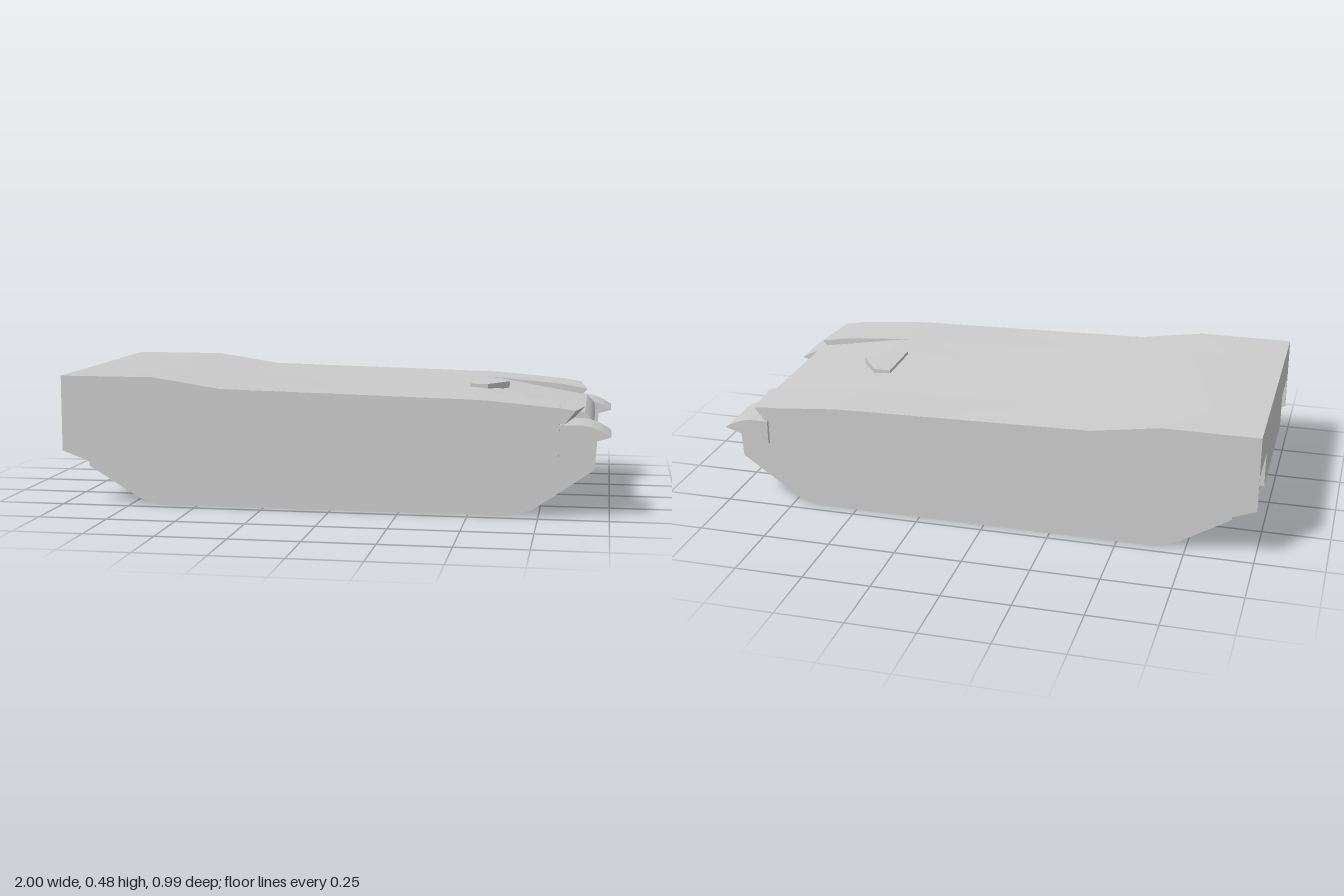
import * as THREE from 'three';
import { toCreasedNormals } from 'three/addons/utils/BufferGeometryUtils.js';

const material = new THREE.MeshStandardMaterial({ color: 0xcccccc, side: THREE.DoubleSide });

const shapeOf = (points) => new THREE.Shape(points.map(([x, y]) => new THREE.Vector2(x, y)));

// Side profile (x, y) extruded between two z positions, with an optional rule to move its corners
function slab(name, shape, z0, z1, adjust) {
  const geometry = new THREE.ExtrudeGeometry(shape, { depth: z1 - z0, bevelEnabled: false, curveSegments: 14 });
  geometry.translate(0, 0, z0);
  if (adjust) {
    const p = geometry.attributes.position;
    const v = new THREE.Vector3();
    for (let i = 0; i < p.count; i++) {
      adjust(v.fromBufferAttribute(p, i));
      p.setXYZ(i, v.x, v.y, v.z);
    }
  }
  const mesh = new THREE.Mesh(toCreasedNormals(geometry, 0.45), material);
  mesh.name = name;
  return mesh;
}

// Shared roof line, rear to front
const roof = [[-1, 0.478], [-0.65, 0.478], [-0.4, 0.44], [0.5, 0.42]];

function centralHull() {
  // Belly rises gently to the rear; the nose leans out, then curves under
  const shape = shapeOf([[0.76, 0.14], [-1, 0.2], ...roof, [0.57, 0.413], [0.905, 0.355]]);
  shape.bezierCurveTo(0.965, 0.31, 0.96, 0.25, 0.76, 0.14);
  return slab('centralHull', shape, -0.28, 0.28);
}

// Everything outboard of the central hull on the +z side
function sidePods() {
  const side = new THREE.Group();
  side.add(slab('sponson', shapeOf([[-1, 0.33], ...roof, [0.57, 0.417], [0.82, 0.395], [0.82, 0.33]]), 0.28, 0.495));
  side.add(slab('skirt', shapeOf([[-1, 0.2], [-1, 0.34], [0.82, 0.34], [0.82, 0.14], [-0.84, 0.14]]), 0.489, 0.495));
  side.add(slab('track', shapeOf([
    [-0.92, 0.33], [-0.91, 0.14], [-0.72, 0.025], [-0.65, 0], [0.65, 0],
    [0.73, 0.025], [0.945, 0.175], [0.952, 0.28], [0.85, 0.33],
  ]), 0.29, 0.46));

  // Raised front flap, its leading edge swept back and up outboard
  side.add(slab('frontFlap', shapeOf([
    [0.8, 0.338], [0.8, 0.395], [0.82, 0.394], [0.907, 0.378], [0.87, 0.338],
  ]), 0.28, 0.485, (v) => {
    if (v.x < 0.84) return;
    v.x -= 0.15 * (v.z - 0.28);
    if (v.y > 0.35) v.y += 0.04 * (v.z - 0.28);
  }));

  // Mudguard over the front of the track, its top curving down to a sharp lip
  const guard = shapeOf([[0.83, 0.246], [0.83, 0.335], [0.9, 0.335]]);
  guard.quadraticCurveTo(0.955, 0.328, 1, 0.295);
  side.add(slab('mudguard', guard, 0.28, 0.487));
  return side;
}

// Five-sided hatch with its point towards the nose
function hatch() {
  const outline = shapeOf([[0.475, -0.108], [0.54, -0.108], [0.615, 0], [0.54, 0.108], [0.475, 0.108]]);
  const geometry = new THREE.ExtrudeGeometry(outline, { depth: 0.024, bevelEnabled: false });
  geometry.rotateX(-Math.PI / 2);
  geometry.translate(0, 0.409, 0);
  const mesh = new THREE.Mesh(geometry, material);
  mesh.name = 'hatch';
  return mesh;
}

export function createModel() {
  const model = new THREE.Group();
  model.name = 'armouredHull';
  const nearSide = sidePods();
  nearSide.name = 'nearSide';
  const farSide = sidePods();
  farSide.name = 'farSide';
  farSide.scale.z = -1;
  model.add(centralHull(), nearSide, farSide, hatch());
  return model;
}
